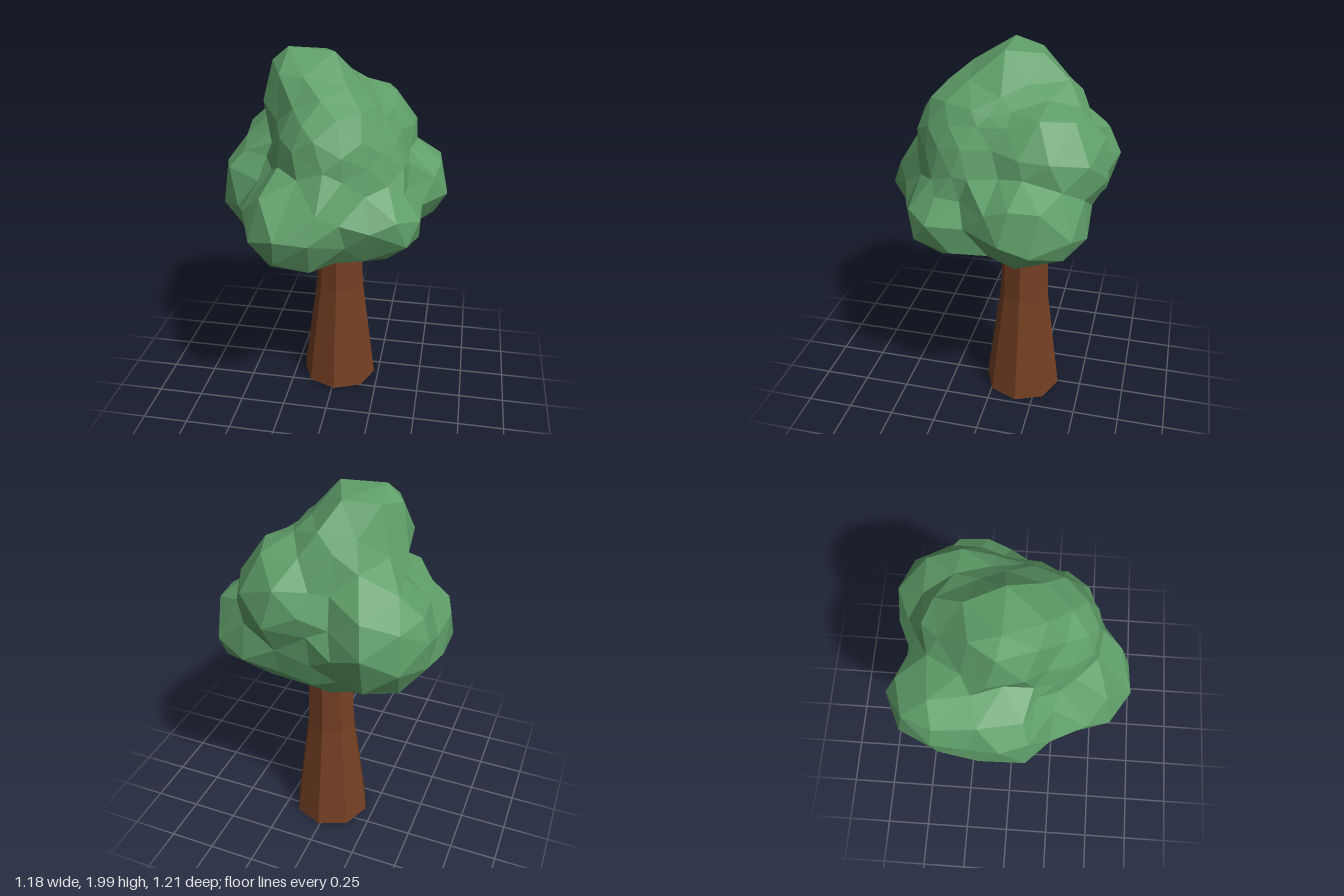
import * as THREE from 'three';
import { mergeVertices } from 'three/addons/utils/BufferGeometryUtils.js';

// Foliage lobes: centre x, y, z and radii x, y, z
const LOBES = [
  [0.03, 1.37, 0, 0.38, 0.4, 0.4],           // core
  [-0.13, 1.75, -0.06, 0.25, 0.27, 0.25],    // crown
  [-0.05, 1.62, -0.22, 0.25, 0.28, 0.24],    // back slope below the crown
  [0, 1.5, 0.05, 0.3, 0.37, 0.38],           // front slope below the crown
  [0.14, 1.48, -0.27, 0.28, 0.31, 0.33],     // back shoulder
  [0.27, 1.25, -0.23, 0.34, 0.26, 0.31],     // lower back, +x
  [0.24, 1.18, 0.16, 0.26, 0.21, 0.27],      // front, +x
  [-0.12, 1.21, 0.3, 0.29, 0.27, 0.31],      // front
  [-0.31, 1.34, -0.3, 0.27, 0.3, 0.31],      // back, -x
  [-0.34, 1.25, -0.03, 0.275, 0.27, 0.27],   // side, -x
  [-0.05, 1.2, -0.22, 0.34, 0.26, 0.28],     // underside behind the trunk
].map(([x, y, z, rx, ry, rz]) => ({
  centre: new THREE.Vector3(x, y, z),
  radii: new THREE.Vector3(rx, ry, rz),
}));

// Distance along a ray at which it leaves a lobe, or 0 when it misses
function exitDistance(origin, dir, { centre, radii }) {
  const o = origin.clone().sub(centre).divide(radii);
  const d = dir.clone().divide(radii);
  const a = d.dot(d), b = o.dot(d), c = o.dot(o) - 1;
  const disc = b * b - a * c;
  return disc < 0 ? 0 : (-b + Math.sqrt(disc)) / a;
}

// One faceted skin pushed out to the surface of the joined lobes
function foliageGeometry() {
  const ball = new THREE.IcosahedronGeometry(1, 3);
  ball.deleteAttribute('normal');
  ball.deleteAttribute('uv');
  const geometry = mergeVertices(ball, 1e-4);
  const pos = geometry.attributes.position;
  const origin = new THREE.Vector3(0, 1.36, -0.03);
  const dir = new THREE.Vector3();
  for (let i = 0; i < pos.count; i++) {
    dir.fromBufferAttribute(pos, i);
    // slight unevenness so the facets look hand cut
    dir.x += 0.05 * Math.sin(i * 12.9);
    dir.y += 0.05 * Math.sin(i * 7.3 + 1);
    dir.z += 0.05 * Math.sin(i * 4.7 + 2);
    dir.normalize();
    const reach = Math.max(...LOBES.map((lobe) => exitDistance(origin, dir, lobe)));
    dir.multiplyScalar(reach).add(origin);
    pos.setXYZ(i, dir.x, dir.y, dir.z);
  }
  geometry.computeVertexNormals();
  return geometry;
}

export function createModel() {
  const tree = new THREE.Group();
  tree.name = 'tree';

  // Flared eight-sided trunk, open at the base
  const profile = [[0.215, 0], [0.135, 0.62], [0.123, 1.02]].map(([r, y]) => new THREE.Vector2(r, y));
  const trunk = new THREE.Mesh(
    new THREE.LatheGeometry(profile, 8),
    new THREE.MeshStandardMaterial({ color: 0x743f23, flatShading: true, side: THREE.DoubleSide })
  );
  trunk.name = 'trunk';
  trunk.position.set(0.01, 0, -0.155);
  tree.add(trunk);

  // Lumpy foliage
  const foliage = new THREE.Mesh(
    foliageGeometry(),
    new THREE.MeshStandardMaterial({ color: 0x5f9e68, flatShading: true })
  );
  foliage.name = 'foliage';
  tree.add(foliage);

  return tree;
}
